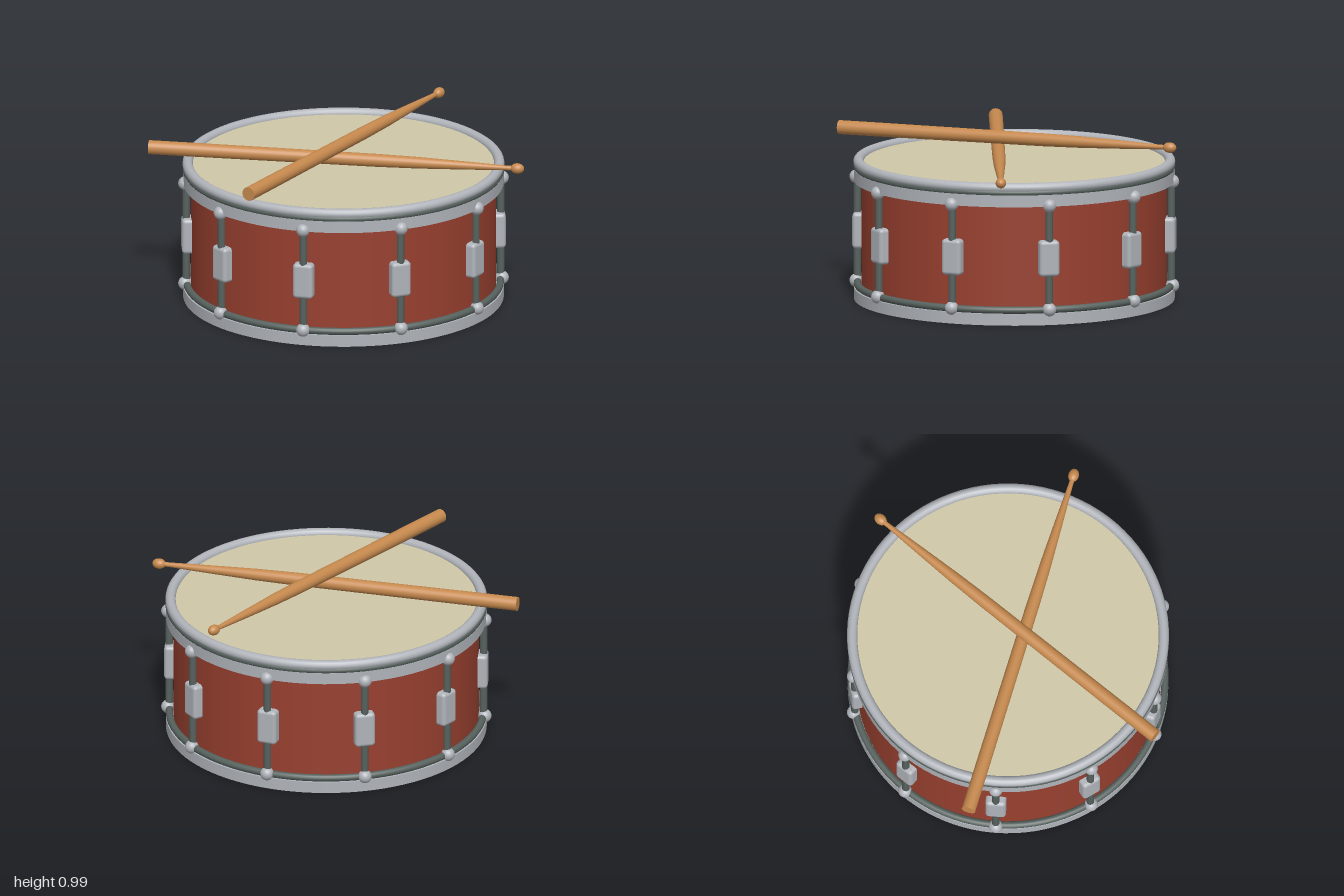
import * as THREE from 'three';
import { RoundedBoxGeometry } from 'three/addons/geometries/RoundedBoxGeometry.js';

const flat = (name, color) => {
  const m = new THREE.MeshStandardMaterial({ color });
  m.name = name;
  return m;
};

export function createModel() {
  const red = flat('redShell', 0x98402f);
  const silver = flat('silver', 0xb0b4ba);
  const dark = flat('darkMetal', 0x56615d);
  const skin = flat('drumSkin', 0xcfc7a8);
  const wood = flat('wood', 0xc6894e);

  const model = new THREE.Group();
  model.name = 'snareDrum';
  const drum = new THREE.Group();
  drum.name = 'drum';
  drum.position.x = 0.052;
  model.add(drum);

  const add = (parent, name, geometry, material, x = 0, y = 0, z = 0) => {
    const mesh = new THREE.Mesh(geometry, material);
    mesh.name = name;
    mesh.position.set(x, y, z);
    parent.add(mesh);
    return mesh;
  };
  const disc = (name, r, y0, y1, material) =>
    add(drum, name, new THREE.CylinderGeometry(r, r, y1 - y0, 96), material, 0, (y0 + y1) / 2);
  const ring = (name, r, tube, y, material) =>
    add(drum, name, new THREE.TorusGeometry(r, tube, 16, 96).rotateX(Math.PI / 2), material, 0, y);

  // Shell, hoops and batter head
  disc('shell', 0.89, 0.05, 0.72, red);
  disc('bottomHoop', 0.935, 0, 0.068, silver);
  ring('bottomRing', 0.915, 0.021, 0.088, dark);
  disc('topHoop', 0.935, 0.7, 0.77, silver);
  ring('topRing', 0.918, 0.02, 0.782, dark);
  ring('topRim', 0.908, 0.03, 0.81, silver);
  disc('drumHead', 0.9, 0.765, 0.81, skin);

  // Ten tension rods, each with a lug casing and two round end caps
  const rodGeo = new THREE.CylinderGeometry(0.022, 0.022, 0.615, 16);
  const capGeo = new THREE.SphereGeometry(0.04, 20, 14);
  const lugGeo = new RoundedBoxGeometry(0.12, 0.212, 0.09, 3, 0.022);
  for (let i = 0; i < 10; i++) {
    const tension = new THREE.Group();
    tension.name = 'tensionRod' + (i + 1);
    tension.rotation.y = (i * Math.PI) / 5;
    add(tension, 'rod', rodGeo, dark, 0, 0.398, 0.918);
    add(tension, 'lug', lugGeo, silver, 0, 0.391, 0.9);
    add(tension, 'topCap', capGeo, silver, 0, 0.705, 0.925);
    add(tension, 'bottomCap', capGeo, silver, 0, 0.09, 0.925);
    drum.add(tension);
  }

  // Drumstick: tapered shaft from butt to a bead-shaped tip
  const addStick = (name, butt, tip) => {
    const axis = tip.clone().sub(butt);
    const length = axis.length();
    const stick = new THREE.Group();
    stick.name = name;
    stick.position.copy(butt);
    stick.quaternion.setFromUnitVectors(new THREE.Vector3(0, 1, 0), axis.normalize());
    const profile = [[0.041, 0], [0.041, 0.1], [0.038, 0.62], [0.034, 0.73], [0.024, 0.86], [0.014, 0.97], [0.014, 0.99]]
      .map(([r, t]) => new THREE.Vector2(r, t * length));
    add(stick, 'shaft', new THREE.LatheGeometry(profile, 24), wood);
    add(stick, 'butt', new THREE.CircleGeometry(0.041, 24).rotateX(Math.PI / 2), wood);
    add(stick, 'tip', new THREE.SphereGeometry(0.031, 20, 14).scale(1, 1.3, 1), wood, 0, length, 0);
    model.add(stick);
  };
  addStick('lowerStick', new THREE.Vector3(-0.976, 0.882, -0.485), new THREE.Vector3(0.906, 0.863, 0.599));
  addStick('upperStick', new THREE.Vector3(-0.805, 0.942, 0.676), new THREE.Vector3(0.869, 0.962, -0.567));

  return model;
}
